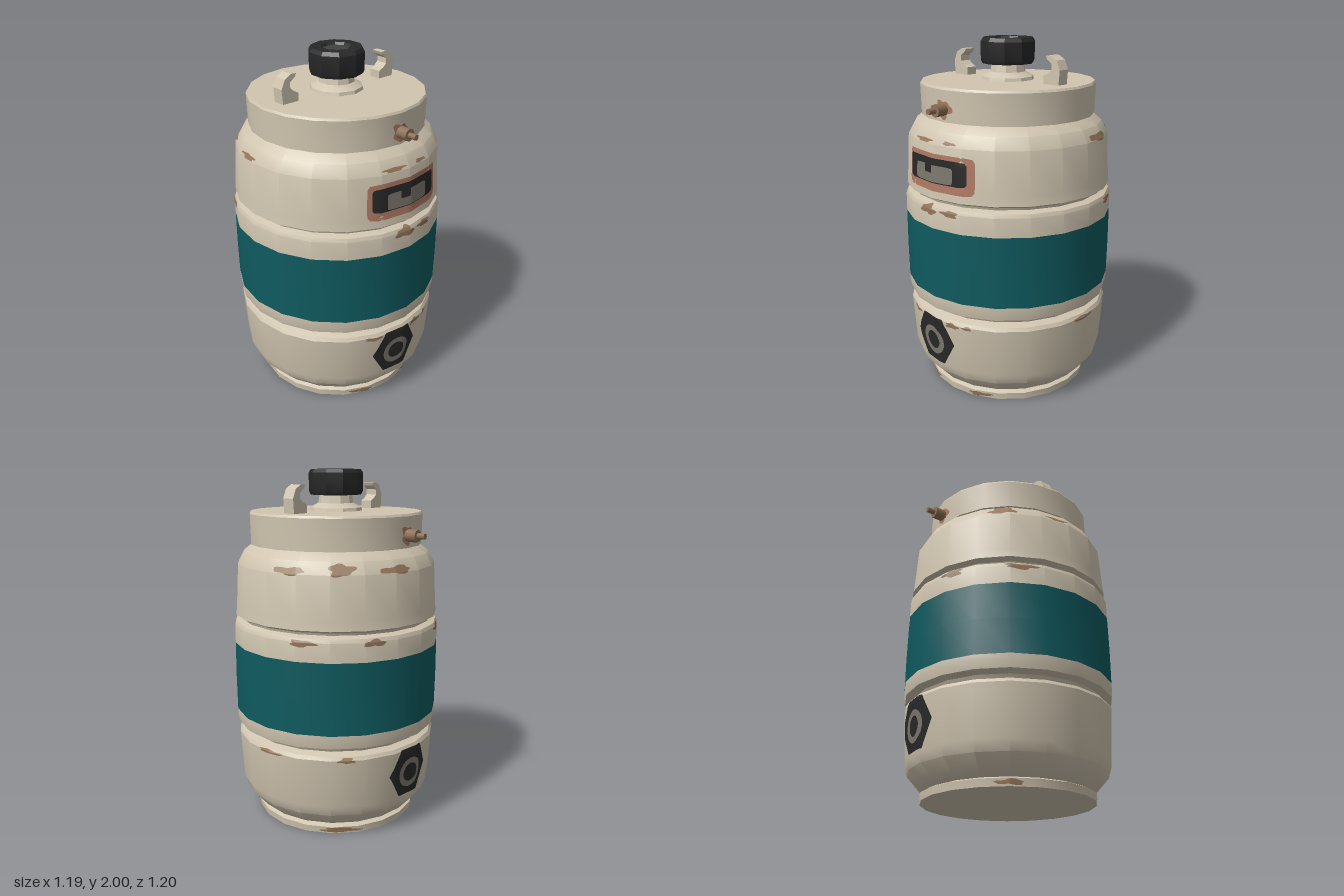
import * as THREE from 'three';
import { toCreasedNormals } from 'three/addons/utils/BufferGeometryUtils.js';

const SIDES = 20;
const mat = (name, color) => new THREE.MeshStandardMaterial({ name, color });

// Wall profiles [radius, height], bottom to top
const LOWER = [[0, 0], [0.475, 0], [0.48, 0.04], [0.45, 0.052], [0.475, 0.065], [0.55, 0.15], [0.568, 0.21],
  [0.586, 0.49], [0.575, 0.51], [0.535, 0.525], [0.545, 0.545], [0.587, 0.56], [0.595, 0.6], [0.595, 0.635]];
const BAND = [[0.595, 0.635], [0.597, 0.83], [0.595, 1.035]];
const UPPER = [[0.595, 1.035], [0.594, 1.14], [0.585, 1.16], [0.55, 1.172], [0.555, 1.185], [0.585, 1.2],
  [0.58, 1.25], [0.566, 1.485], [0.53, 1.55], [0.475, 1.592]];
const COLLAR = [[0.46, 1.592], [0.488, 1.592], [0.492, 1.76], [0.485, 1.772], [0, 1.772]];
const WALL = [...LOWER, ...BAND, ...UPPER, ...COLLAR.slice(1, 4)];

const lathe = (pts, sides = SIDES) =>
  toCreasedNormals(new THREE.LatheGeometry(pts.map(p => new THREE.Vector2(...p)), sides), 0.45);

// Distance from the axis to the faceted wall at a given angle and height
function wallRadius(theta, y) {
  let i = 1;
  while (i < WALL.length - 1 && WALL[i + 1][1] < y) i++;
  const [r0, y0] = WALL[i], [r1, y1] = WALL[Math.min(i + 1, WALL.length - 1)];
  const r = y1 > y0 ? r0 + (r1 - r0) * THREE.MathUtils.clamp((y - y0) / (y1 - y0), 0, 1) : r0;
  const step = Math.PI * 2 / SIDES;
  const a = THREE.MathUtils.euclideanModulo(theta, step) - step / 2;
  return r * Math.cos(step / 2) / Math.cos(a);
}

// Outlines in polar form
const round = () => 1;
const hexagon = a => Math.cos(Math.PI / 6) / Math.cos(THREE.MathUtils.euclideanModulo(a, Math.PI / 3) - Math.PI / 6);
const box = a => Math.pow(Math.cos(a) ** 12 + Math.sin(a) ** 12, -1 / 12);
const ragged = seed => a => 0.85 + 0.14 * Math.sin(3 * a + seed) + 0.12 * Math.sin(5 * a + seed * 2.3);

// Thin painted skin wrapped onto the wall; w and h are half sizes
function paint(theta, y, w, h, outline, lift = 0.004, inner = 0) {
  const g = new THREE.RingGeometry(inner, 1, 48, 8);
  const p = g.attributes.position;
  for (let i = 0; i < p.count; i++) {
    const k = outline(Math.atan2(p.getY(i), p.getX(i)));
    const t = theta + p.getX(i) * k * w / 0.58;
    const py = Math.max(0.002, y + p.getY(i) * k * h);
    const r = wallRadius(t, py) + lift;
    p.setXYZ(i, Math.sin(t) * r, py, Math.cos(t) * r);
  }
  g.computeVertexNormals();
  return g;
}

export function createModel() {
  const model = new THREE.Group();
  model.name = 'metalCanister';
  const cream = mat('creamPaint', 0xd0c5b0);
  const teal = mat('tealPaint', 0x0f5a5f);
  const black = mat('blackRubber', 0x282828);
  const charcoal = mat('charcoal', 0x44413e);
  const grey = mat('wornGrey', 0x7d776c);
  const brown = mat('brownMetal', 0x8d7156);
  const rust = mat('rust', 0x93765a);
  const redRust = mat('redRust', 0xae7a63);

  const add = (name, geometry, material, parent = model) => {
    const m = new THREE.Mesh(geometry, material);
    m.name = name;
    parent.add(m);
    return m;
  };

  // Barrel
  add('lowerBarrel', lathe(LOWER), cream);
  add('tealBand', lathe(BAND), teal);
  add('upperBarrel', lathe(UPPER), cream);
  add('lidCollar', lathe(COLLAR), cream);

  // Neck and screw cap
  add('neck', lathe([[0.15, 1.77], [0.145, 1.79], [0.1, 1.815], [0.09, 1.87]], 10), cream);
  add('cap', lathe([[0, 1.86], [0.143, 1.86], [0.153, 1.88], [0.153, 1.98], [0.14, 2],
    [0.085, 2], [0.075, 1.985], [0, 1.985]], 10), black);
  const inset = add('capInset', new THREE.CircleGeometry(0.076, 6), charcoal);
  inset.rotation.x = -Math.PI / 2;
  inset.position.y = 1.988;

  // Lid hooks, curling inward
  const hookShape = new THREE.Shape([[0.29, 1.765], [0.39, 1.765], [0.397, 1.85], [0.375, 1.9], [0.335, 1.922],
    [0.302, 1.92], [0.31, 1.903], [0.342, 1.88], [0.342, 1.85], [0.32, 1.83], [0.29, 1.815]]
    .map(p => new THREE.Vector2(...p)));
  const hookGeometry = new THREE.ExtrudeGeometry(hookShape, { depth: 0.07, bevelEnabled: false });
  hookGeometry.translate(0, 0, -0.035);
  ['leftHook', 'rightHook'].forEach((name, i) => {
    add(name, hookGeometry, cream).rotation.y = i * Math.PI;
  });

  // Valve and hexagonal port on the front and the back
  ['front', 'back'].forEach((side, i) => {
    const turn = i * Math.PI;
    const valve = new THREE.Group();
    valve.name = side + 'Valve';
    valve.rotation.y = turn;
    model.add(valve);
    [['valveBase', 0.034, 0.46, 0.552, brown], ['valveStem', 0.016, 0.55, 0.597, brown]].forEach(([n, r, z0, z1, m]) => {
      const g = new THREE.CylinderGeometry(r, r, z1 - z0, 8).rotateX(Math.PI / 2);
      g.translate(0, 1.66, (z0 + z1) / 2);
      add(n, g, m, valve);
    });
    add(side + 'ValveRust', paint(turn, 1.66, 0.07, 0.055, ragged(1)), redRust);

    const t = turn - 0.08;
    add(side + 'Port', paint(t, 0.355, 0.16, 0.163, hexagon), black);
    add(side + 'PortRing', paint(t, 0.345, 0.088, 0.088, round, 0.007, 0.62), grey);
  });

  // Worn label plate
  add('labelRust', paint(0, 1.34, 0.26, 0.1, box, 0.003), redRust);
  add('labelPlate', paint(-0.015, 1.35, 0.225, 0.066, box, 0.006), black);
  add('labelFace', paint(-0.015, 1.335, 0.14, 0.045, box, 0.009), grey);
  add('labelMark', paint(-0.06, 1.36, 0.03, 0.022, box, 0.0115), black);

  // Rust chips: [angle, height, half width, half height]
  [[-0.17, 1.5, 0.08, 0.012], [0.17, 1.5, 0.05, 0.01], [-0.06, 1.135, 0.07, 0.03], [0.2, 1.135, 0.06, 0.02],
    [-0.35, 0.483, 0.06, 0.013], [0.18, 0.48, 0.05, 0.018], [0.35, 0.487, 0.03, 0.013],
    [1.8, 1.5, 0.11, 0.022], [2.3, 1.51, 0.08, 0.035], [-2.28, 1.52, 0.09, 0.035], [2.85, 1.5, 0.12, 0.022],
    [-1.7, 1.5, 0.08, 0.015], [1.95, 1.135, 0.08, 0.02], [2.6, 1.135, 0.07, 0.02], [-2.75, 1.135, 0.07, 0.025],
    [-2.1, 1.135, 0.1, 0.02], [1.57, 0.49, 0.1, 0.012], [2.35, 0.49, 0.05, 0.018],
    [-0.4, 0.02, 0.1, 0.015], [0.4, 0.02, 0.1, 0.015], [2.3, 0.022, 0.15, 0.018], [-2.2, 0.02, 0.1, 0.015]]
    .forEach(([t, y, w, h], i) => add('rustChip', paint(t, y, w, h, ragged(i * 1.7)), rust));

  return model;
}
